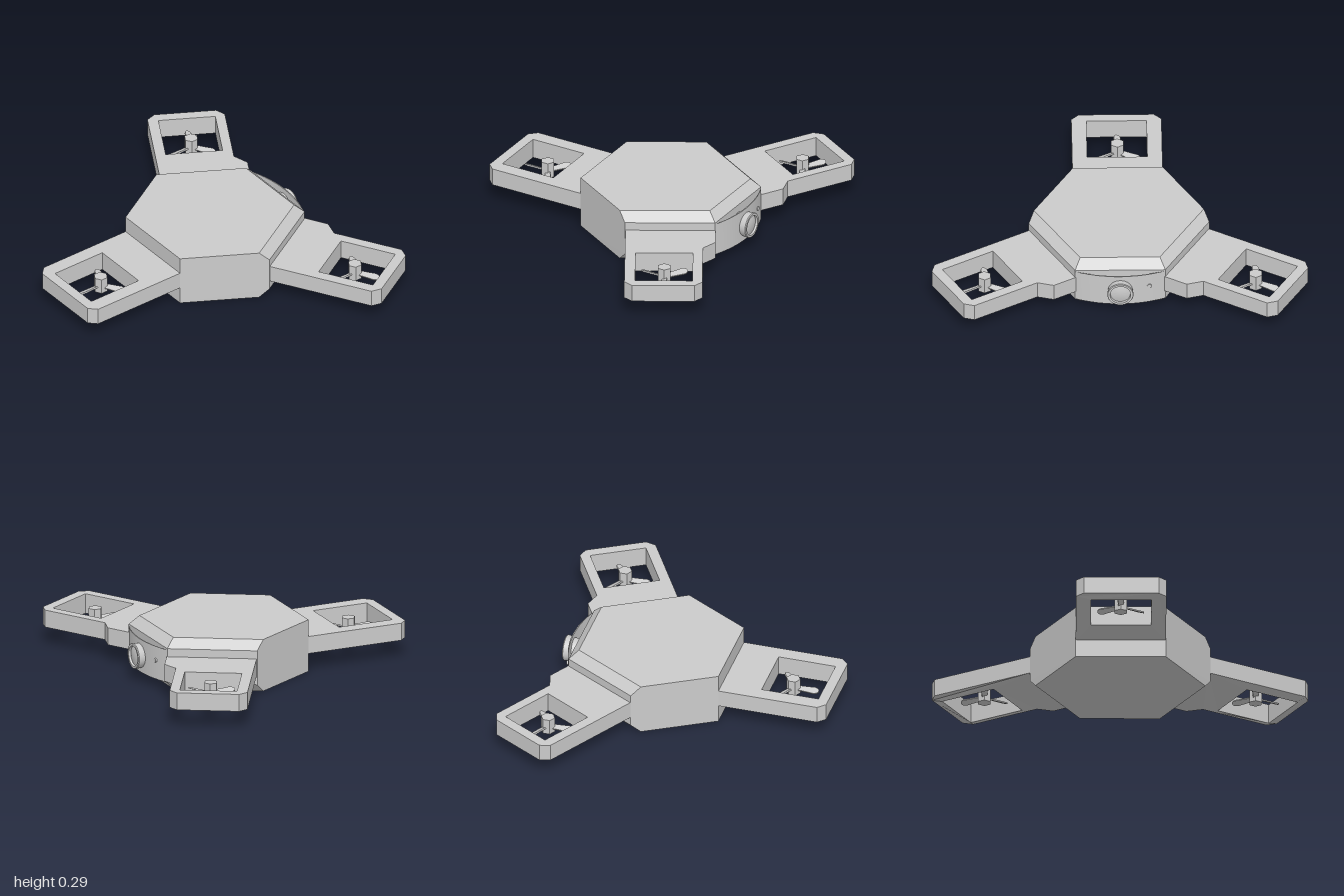
import * as THREE from 'three';
import { toCreasedNormals } from 'three/addons/utils/BufferGeometryUtils.js';
import { ConvexGeometry } from 'three/addons/geometries/ConvexGeometry.js';

const material = new THREE.MeshStandardMaterial({ color: 0xcccccc });
const HUB_Z = -0.18; // point the three arms radiate from

function mesh(name, geometry, parent) {
  const m = new THREE.Mesh(geometry, material);
  m.name = name;
  parent.add(m);
  return m;
}

const v2 = (pts) => pts.map(([x, y]) => new THREE.Vector2(x, y));

// Mirrored in x for the other side, with the corner order kept
const sided = (pts, side) => {
  const out = v2(pts.map(([x, y]) => [x * side, y]));
  return side < 0 ? out.reverse() : out;
};

// Hexagonal body, bevelled along the back and the two rear arm sides
function bodyGeometry() {
  const pts = [];
  const ring = (y, corners) => corners.forEach(([x, z]) =>
    pts.push(new THREE.Vector3(x, y, z), new THREE.Vector3(-x, y, z)));
  for (const y of [0, 0.288]) ring(y, [[0.24, 0.239], [0.452, -0.128], [0.212, -0.543]]);
  for (const y of [0.05, 0.239]) ring(y, [[0.48, -0.176], [0.24, -0.592]]);
  return new ConvexGeometry(pts);
}

// Arm plate lying along local +z with a square rotor window;
// the underside dips slightly towards the window
function armGeometry(outline, [x0, x1, z0, z1], side) {
  const shape = new THREE.Shape(sided(outline, side));
  shape.holes.push(new THREE.Path(sided([[x0, z0], [x0, z1], [x1, z1], [x1, z0]], side)));
  const g = new THREE.ExtrudeGeometry(shape, { depth: 0.095, bevelEnabled: false });
  g.rotateX(Math.PI / 2).translate(0, 0.194, 0);
  const p = g.attributes.position;
  const e = 0.002;
  for (let i = 0; i < p.count; i++) {
    const x = p.getX(i) * side, z = p.getZ(i);
    const atWindow = x > x0 - e && x < x1 + e && z > z0 - e && z < z1 + e;
    if (p.getY(i) < 0.11 && atWindow) p.setY(i, 0.085);
  }
  g.computeVertexNormals();
  return g;
}

// Three-bladed rotor with a faceted hub
function rotor(x, z) {
  const group = new THREE.Group();
  group.name = 'rotor';
  group.position.set(x, 0.13, z);
  const hub = new THREE.CylinderGeometry(0.038, 0.038, 0.088, 6);
  hub.translate(0, 0.014, 0);
  mesh('rotorHub', toCreasedNormals(hub, 0.5), group);

  const s = new THREE.Shape();
  s.moveTo(-0.014, 0.015);
  s.lineTo(0.014, 0.015);
  s.quadraticCurveTo(0.016, 0.07, 0.02, 0.115);
  s.quadraticCurveTo(0.017, 0.14, 0, 0.141);
  s.quadraticCurveTo(-0.017, 0.14, -0.02, 0.115);
  s.quadraticCurveTo(-0.016, 0.07, -0.014, 0.015);
  const blade = new THREE.ExtrudeGeometry(s, { depth: 0.008, bevelEnabled: false, curveSegments: 6 });
  blade.translate(0, 0, -0.004).rotateX(Math.PI / 2).rotateZ(0.4);
  for (let i = 0; i < 3; i++) {
    mesh('rotorBlade', blade, group).rotation.y = i * Math.PI * 2 / 3;
  }
  return group;
}

// Thin upright sheet, bowed outwards, that carries the camera
function panelGeometry() {
  const s = new THREE.Shape();
  s.moveTo(-0.24, -0.592);
  s.quadraticCurveTo(0, -0.69, 0.24, -0.592);
  s.quadraticCurveTo(0, -0.678, -0.24, -0.592);
  const g = new THREE.ExtrudeGeometry(s, { depth: 0.182, bevelEnabled: false, curveSegments: 16 });
  g.rotateX(Math.PI / 2).translate(0, 0.232, 0);
  return toCreasedNormals(g, 0.5);
}

export function createModel() {
  const model = new THREE.Group();
  model.name = 'drone';
  mesh('body', bodyGeometry(), model);

  // Front arm, symmetrical
  const frontOutline = [[-0.24, 0.4], [0.24, 0.4], [0.24, 0.965], [0.2, 1.005], [-0.2, 1.005], [-0.24, 0.965]];
  mesh('frontArm', armGeometry(frontOutline, [-0.16, 0.16, 0.635, 0.95], 1), model)
    .position.z = HUB_Z;
  model.add(rotor(-0.002, 0.585));

  // Rear arms, mirrored, each narrowing by a step on its back edge
  const rearOutline = [[-0.24, 0.4], [0.24, 0.4], [0.24, 0.547], [0.175, 0.611],
    [0.175, 1.0], [0.133, 1.041], [-0.198, 1.041], [-0.24, 1.0]];
  for (const side of [1, -1]) {
    const arm = mesh(side > 0 ? 'leftRearArm' : 'rightRearArm',
      armGeometry(rearOutline, [-0.183, 0.122, 0.672, 0.985], side), model);
    arm.position.z = HUB_Z;
    arm.rotation.y = side * Math.PI * 2 / 3;
    model.add(rotor(side * 0.721, -0.563));
  }

  // Camera panel, flared lens barrel with recessed glass, and a small sensor
  mesh('cameraPanel', panelGeometry(), model);
  const barrel = new THREE.LatheGeometry(v2([[0.055, 0.59], [0.062, 0.635], [0.066, 0.64], [0.07, 0.675],
    [0.067, 0.68], [0.055, 0.68], [0.053, 0.668], [0.03, 0.674], [0, 0.676]]), 32);
  barrel.rotateX(-Math.PI / 2);
  mesh('cameraLens', toCreasedNormals(barrel, 0.5), model).position.y = 0.14;
  const sensor = new THREE.CylinderGeometry(0.012, 0.012, 0.016, 16);
  sensor.rotateX(Math.PI / 2);
  mesh('sensor', sensor, model).position.set(-0.155, 0.155, -0.618);

  return model;
}
